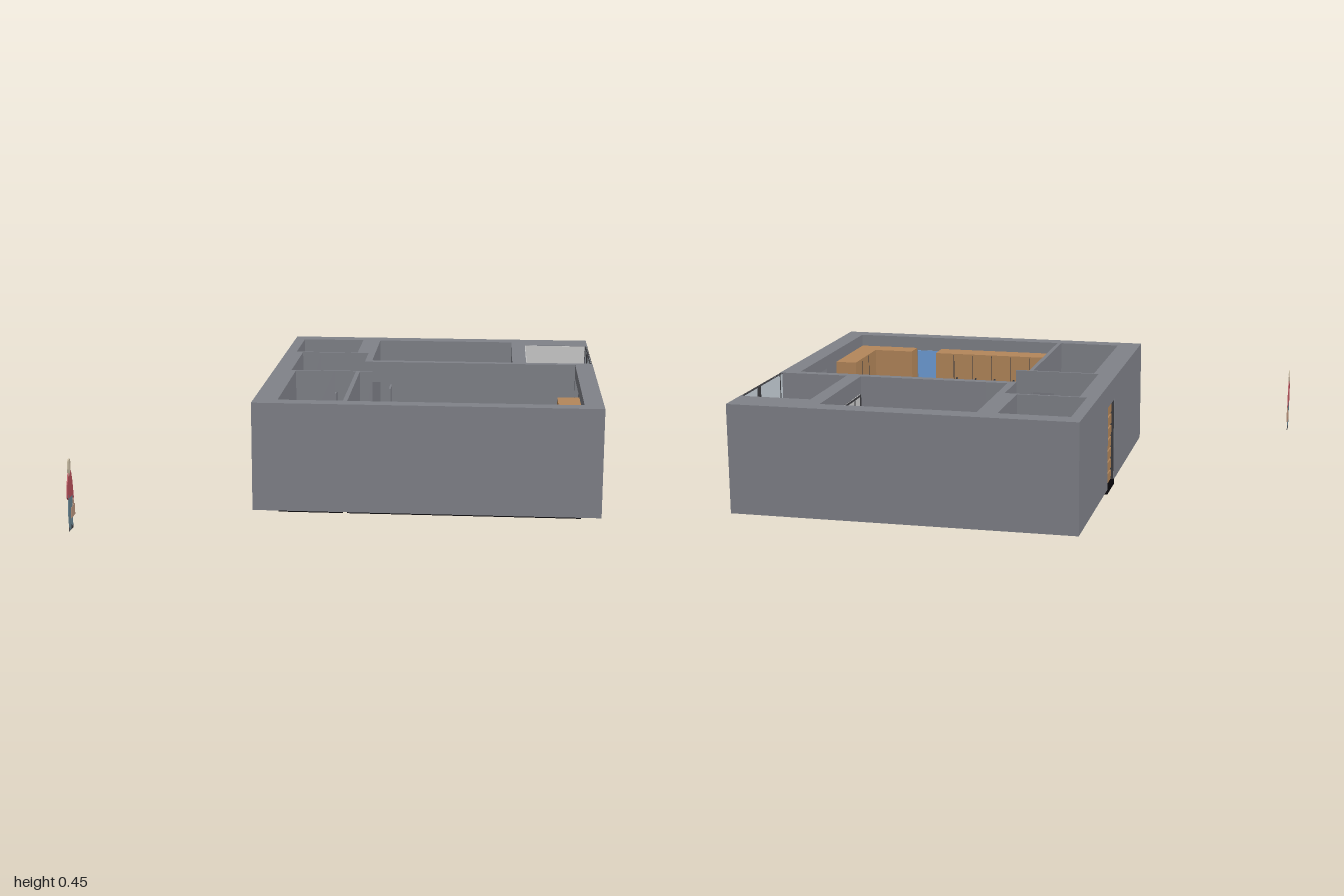
import * as THREE from 'three';

const M = {};
for (const [k, c] of Object.entries({
  wall: 0x808289, black: 0x08060a, tan: 0xe2d4b4, tile: 0x808080, grey: 0xcccccc, linen: 0xb4b4b4,
  dark: 0x3c3c40, wood: 0xb4875a, door: 0x8a6a4c, table: 0xb2967f, glass: 0xc9d2da, blue: 0x6f9fd8,
  pane: 0xc8c6c4, red: 0xb8505a, jeans: 0x66828f, skin: 0xd8c6b0, bag: 0xb8937c, hair: 0xc4b8a0,
})) M[k] = new THREE.MeshStandardMaterial({ color: c, side: THREE.DoubleSide });

function add(parent, name, geo, mat, x = 0, y = 0, z = 0) {
  const m = new THREE.Mesh(geo, M[mat]);
  m.name = name;
  m.position.set(x, y, z);
  parent.add(m);
  return m;
}
// Box given by its limits on each axis
const box = (p, name, mat, x0, x1, y0, y1, z0, z1) =>
  add(p, name, new THREE.BoxGeometry(x1 - x0, y1 - y0, z1 - z0), mat, (x0 + x1) / 2, (y0 + y1) / 2, (z0 + z1) / 2);
const cyl = (p, name, mat, r, h, x, y, z, r2 = r, n = 16) =>
  add(p, name, new THREE.CylinderGeometry(r, r2, h, n), mat, x, y, z);
function group(parent, name, x = 0, y = 0, z = 0, ry = 0) {
  const g = new THREE.Group();
  g.name = name;
  g.position.set(x, y, z);
  g.rotation.y = ry;
  parent.add(g);
  return g;
}
const shapeOf = pts => new THREE.Shape(pts.map(p => new THREE.Vector2(...p)));

const F = 0.02, H = 0.45, DOOR = 0.36;

function buildWalls(root) {
  const g = group(root, 'walls');
  // x0, x1, z0, z1, and optionally y0, y1
  for (const [x0, x1, z0, z1, y0 = F, y1 = H] of [
    [-0.355, 1, -0.915, -0.84], [0.655, 1, -0.84, -0.775],                  // back
    [-0.355, 1, 0.5, 0.565],                                                // front
    [-0.355, -0.31, -0.84, -0.525], [-0.355, -0.28, -0.525, -0.3],          // entrance side
    [-0.355, -0.28, -0.3, -0.14, DOOR, H], [-0.355, -0.28, -0.14, -0.1], [-0.355, -0.26, -0.1, 0.5],
    [0.925, 1, 0.01, 0.5], [0.925, 1, -0.31, -0.285],                       // window side
    [0.925, 1, -0.285, 0.01, F, 0.165], [0.925, 1, -0.285, 0.01, 0.395, H],
    [-0.035, 0.045, -0.84, -0.515], [0.015, 0.045, -0.515, -0.31],          // inner walls
    [-0.31, -0.2, -0.525, -0.515], [-0.105, -0.035, -0.525, -0.515], [-0.2, -0.105, -0.525, -0.515, DOOR, H],
    [0.13, 1, -0.345, -0.31], [0.045, 0.13, -0.345, -0.31, DOOR, H],
    [0.655, 0.715, -0.775, -0.345],
    [-0.28, -0.095, -0.1, -0.09], [0, 0.065, -0.1, -0.09], [-0.095, 0, -0.1, -0.09, DOOR, H],
    [-0.005, 0.012, -0.09, 0.5],
    [0.988, 1, -0.775, -0.345, F, 0.2],                                     // balcony parapet
  ]) box(g, 'wall', 'wall', x0, x1, y0, y1, z0, z1);
  // Pale balcony lining
  box(g, 'balconyLining', 'grey', 0.715, 0.988, F, 0.448, -0.775, -0.772);
  box(g, 'balconyLining', 'grey', 0.715, 0.718, F, 0.448, -0.772, -0.345);
}

function buildFloors(root) {
  const g = group(root, 'floors');
  for (const [mat, x0, x1, z0, z1] of [
    ['tile', -0.31, -0.035, -0.835, -0.525], ['tan', -0.28, 0.015, -0.515, -0.1],
    ['tile', -0.26, -0.005, -0.09, 0.51], ['tan', 0.045, 0.655, -0.835, -0.345],
    ['grey', 0.715, 0.97, -0.775, -0.345], ['tan', 0.012, 0.925, -0.31, 0.51],
    ['tan', 0.015, 0.065, -0.31, -0.09], ['tan', 0.045, 0.13, -0.345, -0.31],
    ['tile', -0.2, -0.105, -0.525, -0.515], ['tan', -0.095, 0, -0.1, -0.09],
    ['black', -0.355, -0.28, -0.3, -0.14],
  ]) {
    box(g, 'slab', 'black', x0, x1, 0, F - 0.002, z0, z1);
    box(g, 'floorFinish', mat, x0, x1 === 0.97 ? 0.988 : x1, F - 0.002, F + 0.002, z0, z1);
  }
}

// Framed glazing in a wall facing x, split by upright bars
function glazing(root, name, mat, x, y0, y1, z0, z1, bars, t = 0.007) {
  const g = group(root, name);
  box(g, 'pane', mat, x - 0.002, x + 0.002, y0, y1, z0, z1);
  for (const z of [z0, ...bars, z1 - t]) box(g, 'upright', 'dark', x - 0.005, x + 0.005, y0, y1, z, z + t);
  for (const y of [y0, y1 - t]) box(g, 'rail', 'dark', x - 0.005, x + 0.005, y, y + t, z0, z1);
}

// Inner door standing open, square to its doorway
function openDoor(root, x, z, len) {
  const g = group(root, 'innerDoor', x, 0, z);
  box(g, 'leaf', 'wall', -0.004, 0.004, F, DOOR - 0.01, 0, len);
  const bar = cyl(g, 'handle', 'dark', 0.003, 0.03, 0, 0.17, len - 0.012, 0.003, 8);
  bar.rotation.z = Math.PI / 2;
}

function frontDoor(root) {
  const g = group(root, 'frontDoor');
  box(g, 'leaf', 'door', -0.34, -0.325, F, DOOR, -0.295, -0.145);
  for (const z of [-0.3, -0.147]) box(g, 'jamb', 'dark', -0.352, -0.28, F, DOOR, z, z + 0.007);
  for (let i = 0; i < 7; i++) box(g, 'panel', 'wood', -0.346, -0.32, 0.03 + i * 0.047, 0.068 + i * 0.047, -0.28, -0.165);
}

// Armchair facing +z
function chair(root, x, z, ry) {
  const g = group(root, 'chair', x, F, z, ry);
  box(g, 'seat', 'grey', -0.036, 0.036, 0.055, 0.075, -0.032, 0.045);
  box(g, 'backrest', 'dark', -0.042, 0.042, 0.05, 0.145, -0.045, -0.032);
  for (const s of [-1, 1]) {
    box(g, 'arm', 'dark', s * 0.041 - 0.005, s * 0.041 + 0.005, 0.09, 0.1, -0.04, 0.035);
    for (const zz of [-0.036, 0.036]) box(g, 'leg', 'dark', s * 0.039 - 0.004, s * 0.039 + 0.004, 0, 0.095, zz - 0.004, zz + 0.004);
  }
  for (let i = 0; i < 9; i++) cyl(g, 'tuft', 'dark', 0.002, 0.002, (i % 3 - 1) * 0.022, 0.076, Math.floor(i / 3) * 0.022 - 0.016, 0.002, 6);
}

function dining(root) {
  const t = group(root, 'roundTable', 0.715, F, -0.14);
  cyl(t, 'top', 'table', 0.12, 0.012, 0, 0.115, 0, 0.12, 40);
  cyl(t, 'hub', 'table', 0.022, 0.004, 0, 0.122, 0, 0.022, 24);
  cyl(t, 'column', 'dark', 0.012, 0.11, 0, 0.055, 0);
  cyl(t, 'foot', 'dark', 0.06, 0.008, 0, 0.006, 0, 0.06, 24);
  for (let i = 0; i < 14; i++) {
    const spoke = group(t, 'inlay', 0, 0.1215, 0, i / 14 * Math.PI * 2);
    box(spoke, 'inlayStrip', 'dark', 0.035, 0.1, -0.001, 0.001, -0.0015, 0.0015);
  }
  chair(root, 0.155, 0.195, Math.PI / 2);
  chair(root, 0.535, -0.185, Math.PI / 2 - 0.3);
  chair(root, 0.755, 0.065, Math.PI + 0.25);

  // Island with stools
  const g = group(root, 'island');
  box(g, 'body', 'wood', 0.26, 0.655, F, 0.145, 0.1, 0.245);
  box(g, 'worktop', 'grey', 0.235, 0.68, 0.145, 0.158, 0.07, 0.265);
  for (const x of [0.4, 0.495, 0.58]) {
    const s = group(root, 'stool', x, F, 0.037);
    box(s, 'seat', 'grey', -0.018, 0.018, 0.09, 0.1, -0.018, 0.018);
    for (const a of [-1, 1]) for (const b of [-1, 1])
      box(s, 'leg', 'dark', a * 0.018 - 0.003, a * 0.018 + 0.003, 0, 0.102, b * 0.018 - 0.003, b * 0.018 + 0.003);
  }
}

function kitchen(root) {
  const g = group(root, 'kitchen');
  box(g, 'baseUnits', 'wood', 0.03, 0.92, F, 0.147, 0.385, 0.5);
  box(g, 'baseUnits', 'wood', 0.845, 0.92, F, 0.147, 0.015, 0.385);
  box(g, 'worktop', 'grey', 0.03, 0.924, 0.147, 0.16, 0.375, 0.5);
  box(g, 'worktop', 'grey', 0.835, 0.924, 0.147, 0.16, 0.01, 0.375);
  // Wall units with door gaps and knobs
  box(g, 'wallUnit', 'wood', 0.03, 0.55, 0.265, 0.4, 0.405, 0.5);
  box(g, 'wallUnit', 'wood', 0.665, 0.924, 0.265, 0.4, 0.415, 0.5);
  box(g, 'wallUnit', 'wood', 0.835, 0.924, 0.265, 0.4, 0.13, 0.415);
  for (let i = 1; i < 6; i++) {
    box(g, 'doorGap', 'dark', 0.03 + i * 0.087, 0.033 + i * 0.087, 0.27, 0.395, 0.404, 0.406);
    box(g, 'baseGap', 'dark', 0.03 + i * 0.13, 0.033 + i * 0.13, 0.03, 0.145, 0.384, 0.386);
    cyl(g, 'knob', 'dark', 0.004, 0.008, 0.018 + i * 0.087, 0.29, 0.403, 0.004, 8).rotation.x = Math.PI / 2;
  }
  for (const z of [0.22, 0.31]) box(g, 'doorGap', 'dark', 0.834, 0.836, 0.27, 0.395, z, z + 0.003);
  // Oven, hob, sink and tap
  box(g, 'oven', 'grey', 0.832, 0.846, 0.04, 0.145, 0.2, 0.31);
  box(g, 'ovenGlass', 'dark', 0.83, 0.833, 0.055, 0.115, 0.215, 0.295);
  box(g, 'hob', 'dark', 0.85, 0.91, 0.16, 0.163, 0.2, 0.31);
  box(g, 'microwave', 'grey', 0.85, 0.92, 0.2, 0.265, 0.2, 0.3);
  box(g, 'microwaveDoor', 'dark', 0.847, 0.851, 0.21, 0.255, 0.21, 0.275);
  box(g, 'sinkRim', 'linen', 0.51, 0.655, 0.16, 0.164, 0.385, 0.48);
  for (const x of [0.52, 0.59]) box(g, 'basin', 'tile', x, x + 0.055, 0.163, 0.165, 0.395, 0.455);
  const path = new THREE.CatmullRomCurve3([[0, 0], [0.05, 0], [0.06, -0.02], [0.045, -0.04]].map(([y, z]) => new THREE.Vector3(0.585, 0.164 + y, 0.475 + z)));
  add(g, 'tap', new THREE.TubeGeometry(path, 12, 0.004, 8), 'dark');
  box(g, 'splashback', 'blue', 0.555, 0.66, 0.2, 0.39, 0.494, 0.499);
}

function bedroom(root) {
  const g = group(root, 'bed');
  box(g, 'base', 'dark', 0.225, 0.54, 0.035, 0.06, -0.835, -0.515);
  box(g, 'mattress', 'linen', 0.23, 0.535, 0.06, 0.1, -0.83, -0.51);
  box(g, 'headboard', 'dark', 0.22, 0.545, F, 0.16, -0.84, -0.832);
  for (const x of [0.217, 0.54]) for (const z of [-0.83, -0.522]) box(g, 'post', 'dark', x, x + 0.008, F, 0.085, z, z + 0.008);
  for (const x of [0.11, 0.555]) box(root, 'nightstand', 'linen', x, x + 0.097, F, 0.1, -0.838, -0.785);
  const tv = group(root, 'television');
  box(tv, 'cabinet', 'dark', 0.235, 0.52, F, 0.08, -0.38, -0.345);
  box(tv, 'screen', 'black', 0.26, 0.495, 0.1, 0.24, -0.358, -0.348);
  glazing(root, 'bedroomWindow', 'pane', 0.652, 0.06, 0.38, -0.7, -0.37, [-0.6, -0.535, -0.45]);
}

function basin(root, x, z) {
  const g = group(root, 'washbasin', x, 0, z);
  box(g, 'bowl', 'grey', -0.022, 0.022, 0.12, 0.15, -0.028, 0.028);
  cyl(g, 'hollow', 'tile', 0.014, 0.002, 0.004, 0.151, 0);
  cyl(g, 'pedestal', 'grey', 0.01, 0.1, -0.008, 0.07, 0);
  box(g, 'tap', 'dark', -0.02, 0, 0.15, 0.165, -0.003, 0.003);
  box(g, 'mirror', 'pane', -0.024, -0.02, 0.22, 0.33, -0.035, 0.035);
}

function bathrooms(root) {
  const g = group(root, 'toilet', -0.175, F, -0.73);
  box(g, 'tank', 'grey', -0.05, 0.05, 0.055, 0.13, -0.1, -0.055);
  cyl(g, 'bowl', 'grey', 0.036, 0.065, 0, 0.035, 0, 0.022, 24).scale.z = 1.3;
  const seat = add(g, 'seat', new THREE.TorusGeometry(0.029, 0.008, 8, 28), 'grey', 0, 0.07, 0);
  seat.rotation.x = Math.PI / 2;
  seat.scale.y = 1.3;
  cyl(g, 'water', 'tile', 0.022, 0.002, 0, 0.069, 0).scale.z = 1.3;
  box(root, 'paperHolder', 'dark', -0.31, -0.292, 0.1, 0.125, -0.745, -0.72);
  basin(root, -0.286, -0.615);
  basin(root, -0.236, 0.13);
  // Corner shower tray, with the shape's y running along z
  const tray = shapeOf([[-0.195, 0.5], [-0.195, 0.4], [-0.1, 0.31], [-0.006, 0.31], [-0.006, 0.5]]);
  const geo = new THREE.ExtrudeGeometry(tray, { depth: 0.02, bevelEnabled: false }).rotateX(Math.PI / 2);
  add(root, 'showerTray', geo, 'grey', 0, F + 0.022, 0);
  box(root, 'showerArm', 'dark', -0.065, -0.005, 0.33, 0.335, 0.408, 0.414);
  cyl(root, 'showerHead', 'dark', 0.014, 0.006, -0.065, 0.328, 0.411);
  box(root, 'showerRail', 'dark', -0.012, -0.006, 0.13, 0.34, 0.38, 0.385);
}

// Flat cut-out figure facing sideways; each outline is in (z, y)
function figure(root) {
  const g = group(root, 'figure', -0.997);
  for (const [name, mat, t, pts] of [
    ['legs', 'jeans', 0.003, [[0.9, 0.02], [0.906, 0.08], [0.898, 0.16], [0.845, 0.16], [0.853, 0.09], [0.85, 0.03], [0.868, 0.03], [0.873, 0.1], [0.88, 0.02]]],
    ['shoes', 'dark', 0.0025, [[0.908, 0.018], [0.9, 0.035], [0.85, 0.035], [0.845, 0.018]]],
    ['jacket', 'red', 0.004, [[0.895, 0.145], [0.848, 0.145], [0.838, 0.125], [0.828, 0.13], [0.84, 0.2], [0.855, 0.242], [0.89, 0.242], [0.91, 0.2], [0.915, 0.15], [0.905, 0.14], [0.9, 0.17]]],
    ['head', 'skin', 0.0045, [[0.862, 0.24], [0.857, 0.265], [0.865, 0.285], [0.88, 0.285], [0.886, 0.262], [0.88, 0.24]]],
    ['hair', 'hair', 0.005, [[0.888, 0.225], [0.873, 0.235], [0.876, 0.27], [0.858, 0.272], [0.863, 0.287], [0.874, 0.292], [0.887, 0.284], [0.893, 0.255]]],
    ['bag', 'bag', 0.0055, [[0.875, 0.06], [0.873, 0.1], [0.822, 0.105], [0.82, 0.062]]],
    ['bagStrap', 'bag', 0.0035, [[0.855, 0.1], [0.842, 0.132], [0.832, 0.132], [0.828, 0.1], [0.832, 0.1], [0.835, 0.127], [0.841, 0.127], [0.851, 0.1]]],
  ]) {
    const geo = new THREE.ExtrudeGeometry(shapeOf(pts), { depth: t, bevelEnabled: false });
    add(g, name, geo.translate(0, 0, -t / 2).rotateY(-Math.PI / 2), mat);
  }
}

export function createModel() {
  const root = new THREE.Group();
  root.name = 'apartment';
  buildWalls(root);
  buildFloors(root);
  glazing(root, 'livingRoomWindow', 'pane', 0.993, 0.165, 0.395, -0.285, 0.01, [-0.141]);
  glazing(root, 'balconyGlass', 'glass', 0.994, 0.2, 0.449, -0.765, -0.337, [-0.374], 0.002);
  box(root, 'balconyPost', 'dark', 0.988, 0.999, 0.2, 0.449, -0.618, -0.59);
  for (const [z0, z1] of [[-0.775, -0.765], [-0.345, -0.337]]) box(root, 'balconyReveal', 'wall', 0.988, 1, 0.2, H, z0, z1);
  frontDoor(root);
  openDoor(root, -0.2, -0.515, 0.095);
  openDoor(root, -0.095, -0.19, 0.09);
  openDoor(root, 0.13, -0.31, 0.09);
  dining(root);
  kitchen(root);
  bedroom(root);
  bathrooms(root);
  figure(root);
  return root;
}
